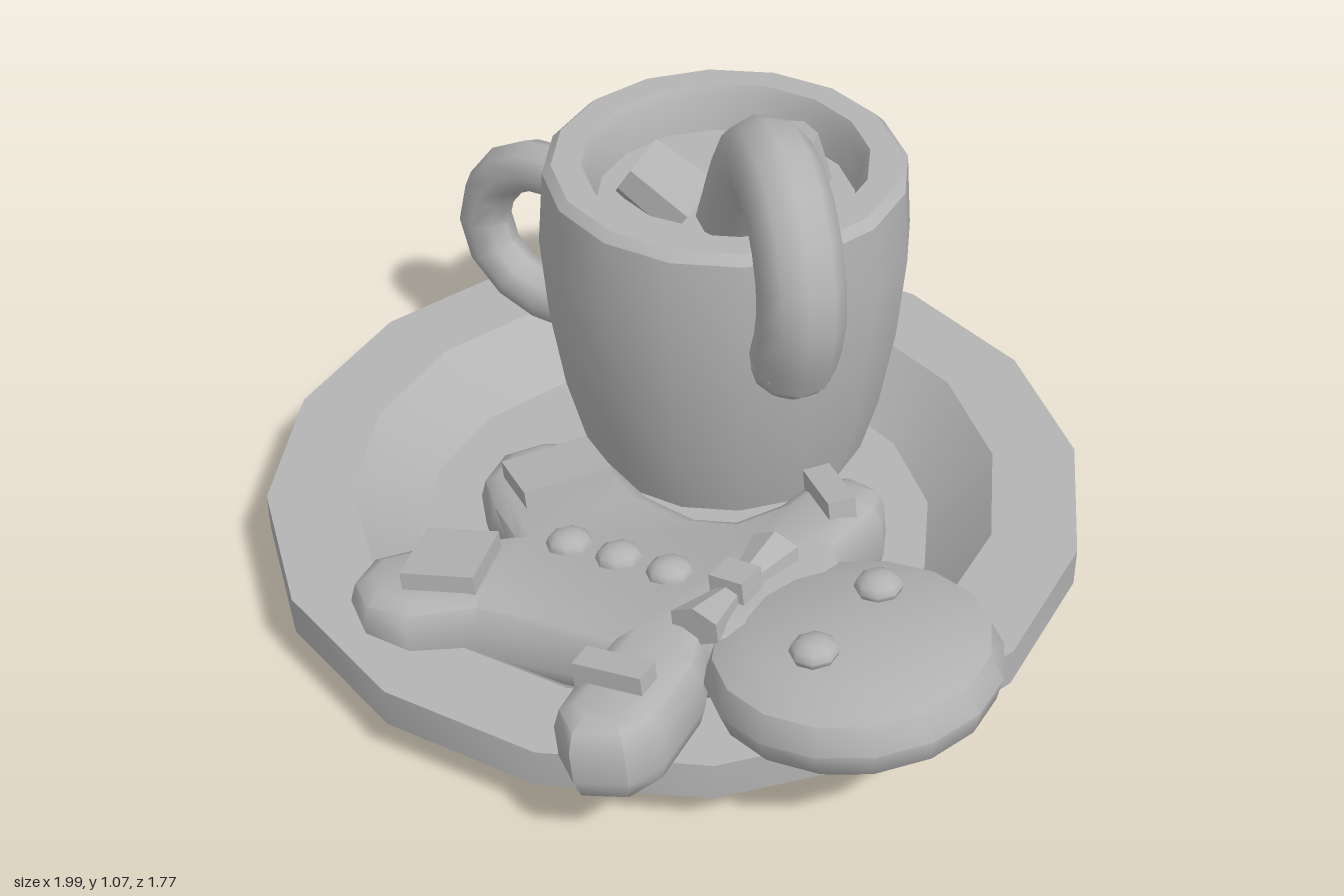
import * as THREE from 'three';
import { toCreasedNormals } from 'three/addons/utils/BufferGeometryUtils.js';

const clay = new THREE.MeshStandardMaterial({ color: 0xb4b4b4 });
clay.name = 'plain grey';

function add(parent, name, geometry, x = 0, y = 0, z = 0, crease = 0.6) {
  const mesh = new THREE.Mesh(toCreasedNormals(geometry, crease), clay);
  mesh.name = name;
  mesh.position.set(x, y, z);
  parent.add(mesh);
  return mesh;
}

// Turned part from [radius, height] pairs, running from the underside round to the inside
function turned(profile, sides) {
  const points = profile.map(([r, y]) => new THREE.Vector2(r, y));
  return new THREE.LatheGeometry(points, sides).rotateY(Math.PI / sides);
}

function tube(points, radius, steps, sides) {
  const path = new THREE.CatmullRomCurve3(points.map((p) => new THREE.Vector3(...p)));
  return new THREE.TubeGeometry(path, steps, radius, sides);
}

function buildCup() {
  const cup = new THREE.Group();
  cup.name = 'cup';
  cup.position.set(-0.3, 0, -0.31);
  add(cup, 'cupBody', turned([
    [0, 0.05], [0.33, 0.05], [0.37, 0.2], [0.402, 0.4], [0.418, 0.6], [0.405, 0.775],
    [0.385, 0.795], [0.32, 0.795], [0.305, 0.77], [0.29, 0.69],
  ], 16));
  add(cup, 'drink', turned([[0.3, 0.69], [0, 0.69]], 16));

  // Handle runs outwards from the cup in a slightly turned vertical plane
  const arc = [[0.36, 0.59], [0.5, 0.607], [0.62, 0.545], [0.675, 0.42],
    [0.635, 0.305], [0.52, 0.245], [0.34, 0.25]];
  add(cup, 'handle', tube(arc.map(([r, y]) => [-0.945 * r, y, 0.326 * r]), 0.063, 10, 8), 0, 0, 0, 0.9);

  // Marshmallows floating in the drink
  const upright = add(cup, 'marshmallow', new THREE.CylinderGeometry(0.085, 0.1, 0.15, 8), 0.03, 0.72, -0.15);
  upright.rotation.set(0.15, 0.2, 0.1);
  const tilted = add(cup, 'marshmallow', new THREE.CylinderGeometry(0.075, 0.085, 0.16, 8), -0.08, 0.72, 0.11);
  tilted.rotation.set(0.3, 0.3, 0.9);
  return cup;
}

function buildCane() {
  const cane = new THREE.Group();
  cane.name = 'candyCane';
  const path = [[-0.28, 0.58], [-0.16, 0.8], [-0.09, 0.92], [0.03, 0.99], [0.15, 0.95],
    [0.222, 0.84], [0.23, 0.74], [0.185, 0.62]];
  add(cane, 'caneHook', tube(path.map(([x, y]) => [x, y, -0.177 + 0.465 * x]), 0.092, 14, 10), 0, 0, 0, 0.9);
  // Rounded tip
  const tip = add(cane, 'caneTip', new THREE.SphereGeometry(0.092, 10, 6), 0.185, 0.62, -0.09, 1);
  tip.scale.y = 0.85;
  return cane;
}

function buildBiscuit() {
  // Local y = 0 is the top surface; the whole figure leans up on the plate rim
  const biscuit = new THREE.Group();
  biscuit.name = 'gingerbreadFigure';
  biscuit.position.y = 0.28;
  biscuit.rotation.z = 0.159;

  // Body, arms and legs as one outline in [x, z]
  const outline = [
    [0.5, 0.4], [0.55, 0.45], [0.63, 0.61], [0.63, 0.7], [0.55, 0.77], [0.46, 0.74], [0.41, 0.65], [0.36, 0.53],
    [0.08, 0.66], [0, 0.78], [-0.1, 0.82], [-0.2, 0.79], [-0.25, 0.7], [-0.2, 0.58], [-0.1, 0.45],
    [-0.22, 0.42], [-0.33, 0.37], [-0.39, 0.27], [-0.36, 0.17], [-0.27, 0.1], [-0.15, 0.12], [0, 0.145],
    [0.14, 0.13], [0.21, 0.08], [0.23, -0.02], [0.21, -0.13], [0.26, -0.2], [0.35, -0.21], [0.41, -0.15],
    [0.45, 0], [0.6, 0.1], [0.62, 0.3],
  ];
  const shape = new THREE.Shape(outline.map(([x, z]) => new THREE.Vector2(x, -z)));
  const body = new THREE.ExtrudeGeometry(shape, {
    depth: 0.07, bevelThickness: 0.055, bevelSize: 0.045, bevelOffset: -0.045, bevelSegments: 2,
  });
  add(biscuit, 'biscuitBody', body.rotateX(-Math.PI / 2), 0, -0.125, 0, 0.8);
  add(biscuit, 'biscuitHead', turned([
    [0, -0.18], [0.22, -0.18], [0.28, -0.13], [0.297, -0.08], [0.275, -0.025], [0.2, 0.005], [0, 0.015],
  ], 16), 0.7, 0, 0.19, 0.7);

  // Icing bands on the limbs: x, z, length, width, turn
  const bands = [
    [-0.18, 0.26, 0.15, 0.2, -0.27], [-0.065, 0.615, 0.16, 0.17, 0.65],
    [0.49, 0.607, 0.15, 0.06, 0.42], [0.32, -0.09, 0.15, 0.06, -0.35],
  ];
  for (const [x, z, length, width, turn] of bands) {
    add(biscuit, 'icingBand', new THREE.BoxGeometry(length, 0.07, width), x, 0.005, z).rotation.y = turn;
  }

  // Buttons and eyes
  const drop = (name, x, z, y) => {
    const mesh = add(biscuit, name, new THREE.SphereGeometry(0.05, 8, 6), x, y, z, 0.9);
    mesh.scale.y = 0.6;
  };
  for (const [x, z] of [[0.04, 0.39], [0.16, 0.35], [0.28, 0.31]]) drop('button', x, z, 0);
  for (const [x, z] of [[0.65, 0.07], [0.72, 0.3]]) drop('eye', x, z, 0.02);

  // Bow tie: two flared wings around a knot
  const bow = new THREE.Group();
  bow.name = 'bowTie';
  bow.position.set(0.435, 0.01, 0.26);
  bow.rotation.y = 0.3;
  add(bow, 'knot', new THREE.BoxGeometry(0.08, 0.08, 0.07));
  for (const side of [-1, 1]) {
    const wing = new THREE.CylinderGeometry(0.03, 0.062, 0.12, 6).rotateX(-side * Math.PI / 2);
    add(bow, 'bowWing', wing, 0, 0, side * 0.09).scale.y = 0.7;
  }
  biscuit.add(bow);
  return biscuit;
}

export function createModel() {
  const model = new THREE.Group();
  model.name = 'cupAndBiscuit';
  // Deep saucer with a wide flat rim
  add(model, 'saucer', turned([
    [0, 0], [0.805, 0], [0.902, 0.1], [0.902, 0.19], [0.715, 0.19], [0.575, 0.06], [0, 0.06],
  ], 16), -0.095, 0, 0);
  model.add(buildCup(), buildCane(), buildBiscuit());
  return model;
}
